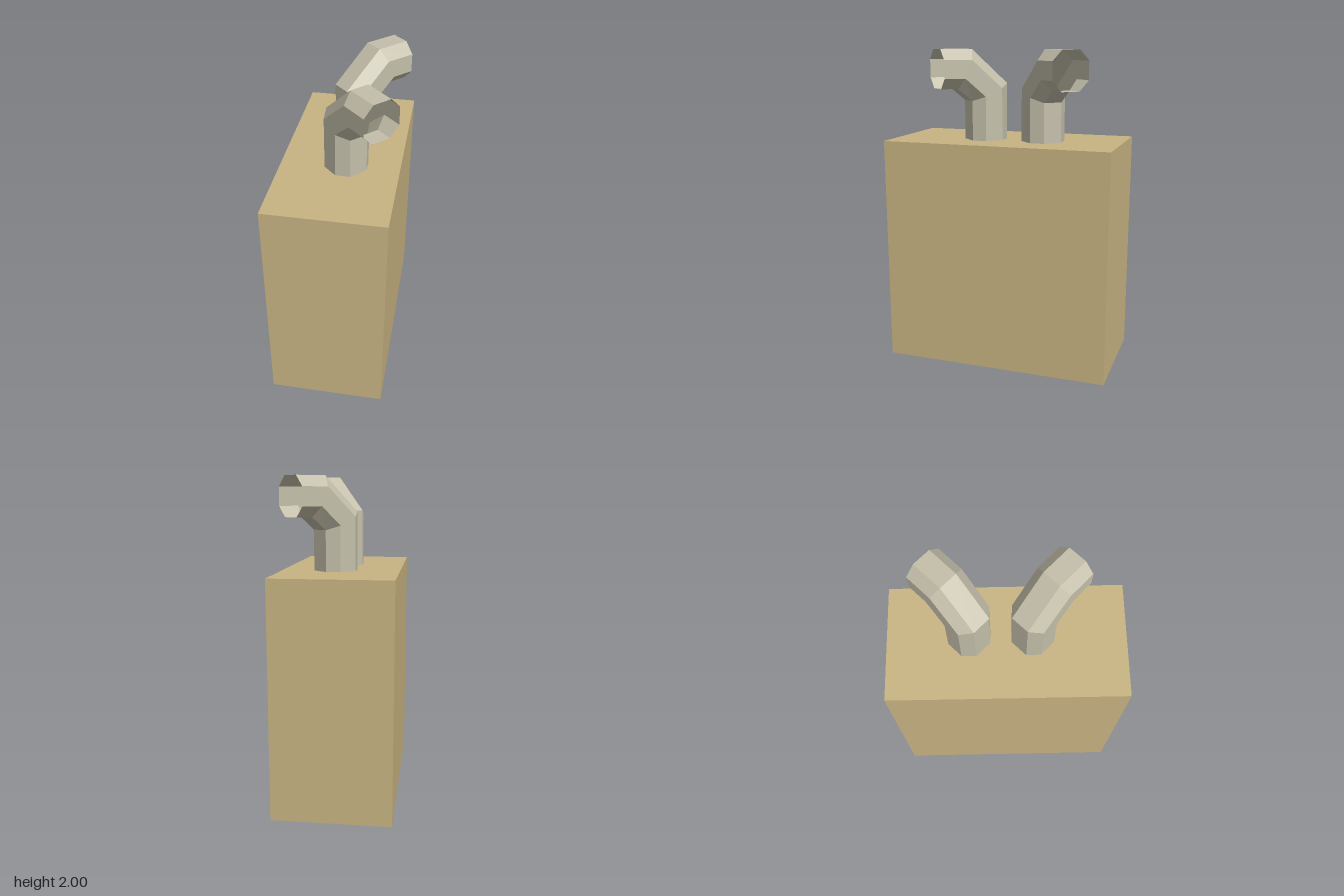
import * as THREE from 'three';

// Octagonal section: [across, along], along points towards the spout
const SECTION = [
  [0.06, 0.12], [0.122, 0.056], [0.122, -0.056], [0.06, -0.12],
  [-0.06, -0.12], [-0.122, -0.056], [-0.122, 0.056], [-0.06, 0.12],
];

// Each ring maps a section offset s to [outward, height]; the two bends are mitred
const RINGS = [
  (s) => [s, 1.435],
  (s) => [s, 1.735 - 0.44 * s],
  (s) => [0.168 + 0.4 * s, 1.88 - s],
  (s) => [0.326, 1.88 - s],
];

// Open bent pipe that heads along local +x
function bentPipeGeometry() {
  const positions = [], index = [], n = SECTION.length;
  for (const ring of RINGS) {
    for (const [across, along] of SECTION) {
      const [out, y] = ring(along);
      positions.push(out, y, across);
    }
  }
  for (let r = 0; r < RINGS.length - 1; r++) {
    for (let i = 0; i < n; i++) {
      const a = r * n + i, b = r * n + (i + 1) % n;
      index.push(a, a + n, b, b, a + n, b + n);
    }
  }
  const geometry = new THREE.BufferGeometry();
  geometry.setAttribute('position', new THREE.Float32BufferAttribute(positions, 3));
  geometry.setIndex(index);
  // The section runs clockwise seen from above, so flip each triangle outward
  const idx = geometry.index.array;
  const p = new THREE.Vector3(), q = new THREE.Vector3(), s = new THREE.Vector3();
  const pos = geometry.attributes.position;
  p.fromBufferAttribute(pos, idx[0]);
  q.fromBufferAttribute(pos, idx[1]).sub(p);
  s.fromBufferAttribute(pos, idx[2]).sub(p);
  if (q.cross(s).dot(new THREE.Vector3(p.x, 0, p.z)) < 0) {
    for (let i = 0; i < idx.length; i += 3) [idx[i + 1], idx[i + 2]] = [idx[i + 2], idx[i + 1]];
  }
  const flat = geometry.toNonIndexed();
  flat.computeVertexNormals();
  return flat;
}

export function createModel() {
  const group = new THREE.Group();

  // Main block
  const block = new THREE.Mesh(
    new THREE.BoxGeometry(0.72, 1.435, 1.44),
    new THREE.MeshStandardMaterial({ color: 0xc8b482 }),
  );
  block.name = 'block';
  block.position.y = 1.435 / 2;
  group.add(block);

  // Two pipes on top, splayed 45 degrees apart from the x axis
  const pipeMaterial = new THREE.MeshStandardMaterial({
    color: 0xc4bfaa, flatShading: true, side: THREE.DoubleSide,
  });
  const geometry = bentPipeGeometry();
  for (const [name, z, turn] of [['frontPipe', 0.155, -1], ['backPipe', -0.225, 1]]) {
    const pipe = new THREE.Mesh(geometry, pipeMaterial);
    pipe.name = name;
    pipe.position.set(0.035, 0, z);
    pipe.rotation.y = turn * Math.PI / 4;
    group.add(pipe);
  }
  return group;
}
